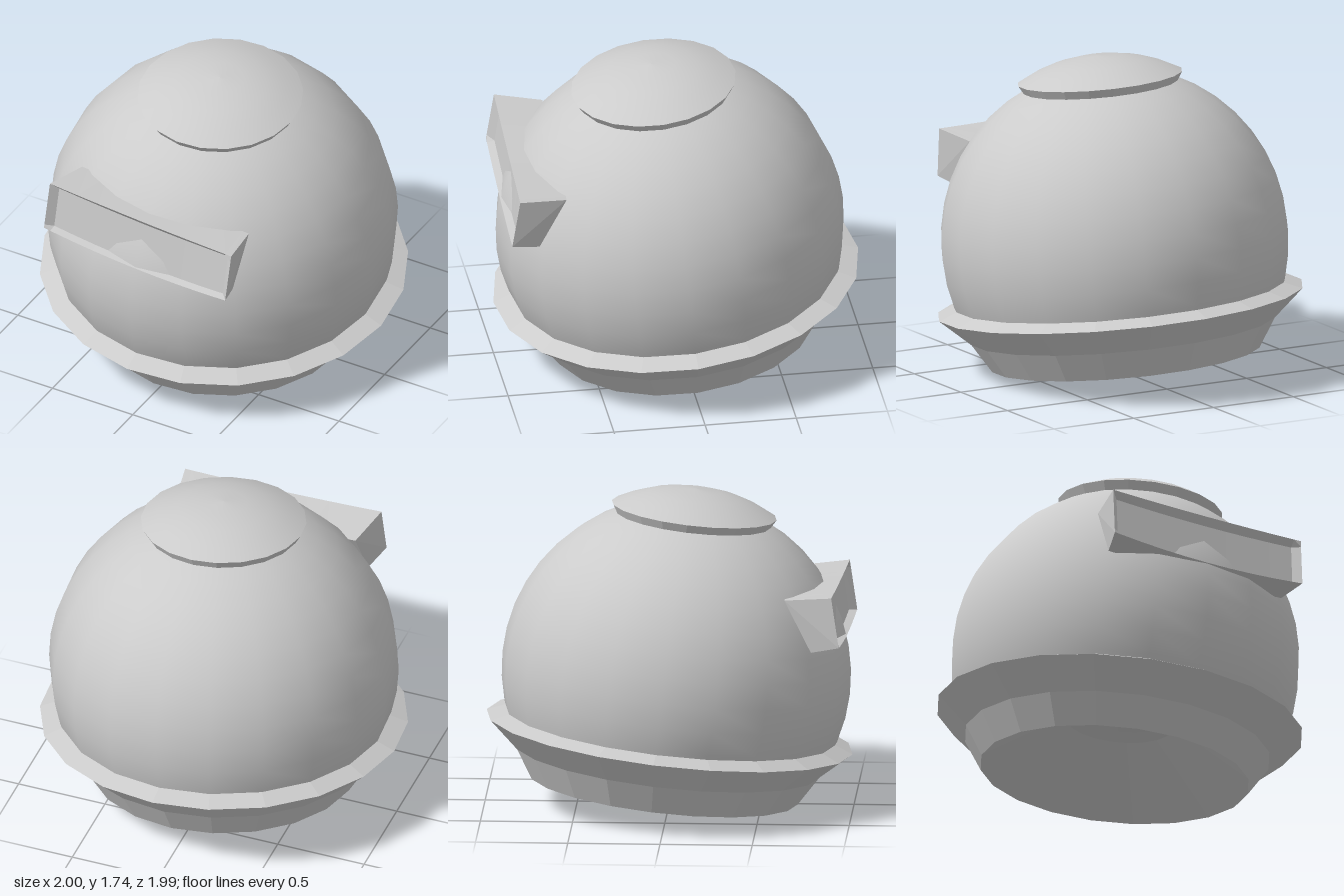
import * as THREE from 'three';

const SIDES = 20;

function material(flat, side = THREE.FrontSide) {
  return new THREE.MeshStandardMaterial({ color: 0xcccccc, flatShading: flat, side });
}

// Turned part from [radius, height] points, listed from the underside upwards
function turned(name, points, flat) {
  const profile = points.map(([r, y]) => new THREE.Vector2(r, y));
  const mesh = new THREE.Mesh(new THREE.LatheGeometry(profile, SIDES), material(flat));
  mesh.name = name;
  return mesh;
}

// Visor: a pitched bar lofted along x, with a shallow recess in its front
function visorGeometry() {
  const steps = 8, halfWidth = 0.577, lip = 0.04;
  const xs = [-halfWidth];
  for (let i = 0; i <= steps; i++) xs.push((halfWidth - lip) * (2 * i / steps - 1));
  xs.push(halfWidth);

  const rings = xs.map((x, i) => {
    const end = i === 0 || i === xs.length - 1;
    const bow = 1 - (x / halfWidth) ** 2;
    // Section as [z, y]: back top, front top, recess top, recess bottom, front bottom, back bottom
    const section = [
      [0.575, 0.9],
      [0.83, 0.952 - 0.008 * bow],
      end ? [0.84, 0.914] : [0.8, 0.915 - 0.015 * bow],
      end ? [0.895, 0.705] : [0.858, 0.69 - 0.03 * bow],
      [0.9, 0.685 - 0.03 * bow],
      [0.75, 0.632 - 0.01 * bow],
    ];
    return section.map(([z, y], j) => [x * (j === 0 || j === 5 ? 0.92 : 1), y, z]);
  });

  const out = [];
  const tri = (a, b, c) => out.push(...a, ...b, ...c);
  for (let i = 0; i < rings.length - 1; i++) {
    for (let j = 0; j < 6; j++) {
      const k = (j + 1) % 6, a = rings[i], b = rings[i + 1];
      tri(a[j], a[k], b[k]);
      tri(a[j], b[k], b[j]);
    }
  }
  const first = rings[0], last = rings[rings.length - 1];
  for (let j = 1; j < 5; j++) {
    tri(last[0], last[j], last[j + 1]);
    tri(first[0], first[j + 1], first[j]);
  }
  const geometry = new THREE.BufferGeometry();
  geometry.setAttribute('position', new THREE.Float32BufferAttribute(out, 3));
  geometry.computeVertexNormals();
  return geometry;
}

export function createModel() {
  const model = new THREE.Group();
  model.name = 'domedHead';
  const head = new THREE.Group();
  head.name = 'tiltedHead';

  // Faceted collar with a hollow conical underside
  head.add(turned('collar', [
    [0, 0.18], [0.735, -0.31], [0.835, -0.15], [1, 0], [0.9, 0.04], [0.84, 0.04],
  ], true));

  // Smooth dome, closed below by a shallow bulge
  const arc = [];
  for (let i = 0; i <= 14; i++) {
    const a = THREE.MathUtils.degToRad(-25 + 115 * i / 14);
    arc.push([i === 14 ? 0 : 0.95 * Math.cos(a), 0.335 + 0.95 * Math.sin(a)]);
  }
  head.add(turned('dome', arc, false));
  head.add(turned('domeUnderside', [
    [0, -0.06], [0.15, -0.05], [0.3, -0.01], [0.5, 0.02], arc[0],
  ], false));

  // Lens-shaped crown cap with an undercut edge
  head.add(turned('capEdge', [[0.415, 1.17], [0.45, 1.23]], true));
  head.add(turned('cap', [
    [0.45, 1.23], [0.36, 1.276], [0.25, 1.316], [0.13, 1.341], [0, 1.35],
  ], false));

  const visor = new THREE.Mesh(visorGeometry(), material(true));
  visor.name = 'visor';
  head.add(visor);

  // The whole head leans forward and slightly to one side
  head.rotation.set(0.105, -0.04, -0.042);
  head.position.y = 0.395;
  model.add(head);
  return model;
}
